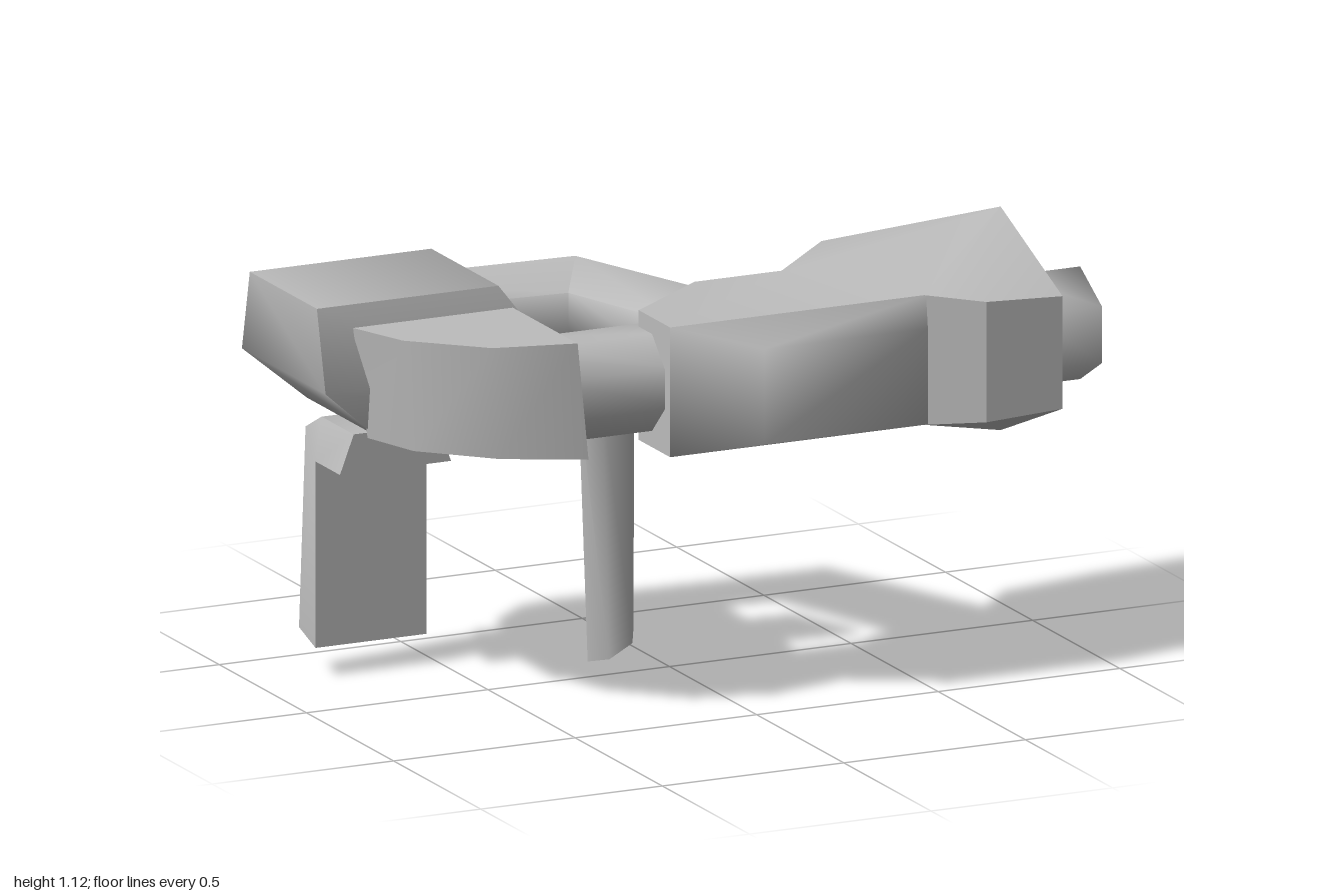
import * as THREE from 'three';
import { toCreasedNormals } from 'three/addons/utils/BufferGeometryUtils.js';

// Skin a series of matching 3D loops; cap lists the end triangles (fan by default).
function loft(loops, crease = 0.6, cap = null) {
  const n = loops[0].length, pos = [];
  const tri = (a, b, c) => pos.push(...a, ...b, ...c);
  for (let k = 0; k + 1 < loops.length; k++) {
    for (let i = 0; i < n; i++) {
      const j = (i + 1) % n, a = loops[k], b = loops[k + 1];
      tri(a[i], a[j], b[j]);
      tri(a[i], b[j], b[i]);
    }
  }
  const ends = cap || Array.from({ length: n - 2 }, (_, i) => [0, i + 1, i + 2]);
  const first = loops[0], last = loops[loops.length - 1];
  for (const [a, b, c] of ends) {
    tri(first[c], first[b], first[a]);
    tri(last[a], last[b], last[c]);
  }
  // Make every face point outward
  let volume = 0;
  const v = (i) => new THREE.Vector3().fromArray(pos, i);
  for (let i = 0; i < pos.length; i += 9) volume += v(i).dot(v(i + 3).cross(v(i + 6)));
  if (volume < 0) {
    for (let i = 0; i < pos.length; i += 9) {
      for (let k = 0; k < 3; k++) [pos[i + 3 + k], pos[i + 6 + k]] = [pos[i + 6 + k], pos[i + 3 + k]];
    }
  }
  const g = new THREE.BufferGeometry();
  g.setAttribute('position', new THREE.Float32BufferAttribute(pos, 3));
  return toCreasedNormals(g, crease);
}

// Regular polygon across the x axis
function ringX(x, y, z, r, sides, turn = 0) {
  return Array.from({ length: sides }, (_, i) => {
    const t = turn + (i / sides) * Math.PI * 2;
    return [x, y + r * Math.cos(t), z + r * Math.sin(t)];
  });
}

// Rectangle at height y
const rectY = (y, x0, x1, z0, z1) => [[x0, y, z0], [x1, y, z0], [x1, y, z1], [x0, y, z1]];
// Rectangle at depth z
const rectZ = (z, x0, x1, y0, y1) => [[x0, y0, z], [x1, y0, z], [x1, y1, z], [x0, y1, z]];

export function createModel() {
  const group = new THREE.Group();
  const grey = new THREE.MeshStandardMaterial({ color: 0xbcbcbc });
  grey.name = 'plain grey';
  const add = (name, geometry) => {
    const mesh = new THREE.Mesh(geometry, grey);
    mesh.name = name;
    group.add(mesh);
  };

  // Main body: x, z and half height around the centre line, peaked at the wide end
  const mid = 0.837;
  const outline = [
    [-0.2, 0.24, 0.167], [0.04, 0.06, 0.167], [0.28, 0.06, 0.167], [0.5, -0.17, 0.16],
    [0.84, -0.21, 0.145], [0.84, 0.15, 0.288], [0.84, 0.505, 0.145], [0.63, 0.505, 0.155],
    [0.5, 0.42, 0.167], [-0.2, 0.42, 0.167],
  ];
  const bodyCap = [[0, 1, 9], [1, 2, 9], [2, 8, 9], [2, 5, 8], [2, 3, 5], [3, 4, 5], [5, 6, 7], [5, 7, 8]];
  add('mainBody', loft([-1, 1].map((s) => outline.map(([x, z, h]) => [x, mid + s * h, z])), 0.5, bodyCap));

  // Softly shaded bulge on the front of the body
  add('frontBulge', loft([
    rectZ(0.42, -0.2, 0.505, 0.67, 1.004),
    rectZ(0.545, 0, 0.45, 0.71, 0.955),
  ], 1.8));

  // Six-sided nozzle and the shaft at the other end
  add('nozzle', loft([ringX(0.8, mid, 0.273, 0.145, 6), ringX(1, mid, 0.273, 0.145, 6)], Math.PI));
  add('shaft', loft([-0.5, -0.15].map((x) => ringX(x, mid, 0.265, 0.135, 8, Math.PI / 8)), 1));

  // Faceted end block
  const blockTop = [[-0.91, 0.08], [-0.85, 0.24], [-0.68, 0.4], [-0.47, 0.452], [-0.47, 0.08]];
  const blockBottom = [[-0.87, 0.08], [-0.82, 0.24], [-0.66, 0.4], [-0.44, 0.452], [-0.44, 0.08]];
  add('endBlock', loft([
    blockBottom.map(([x, z]) => [x, x < -0.6 ? 0.715 : 0.7, z]),
    blockTop.map(([x, z]) => [x, 1.003, z]),
  ], 0.6));

  // Rounded housing behind the end block
  add('rearHousing', loft([
    rectY(0.72, -0.85, -0.27, -0.31, 0.08),
    rectY(0.85, -1, -0.35, -0.37, 0.11),
    rectY(1.058, -1, -0.5, -0.325, 0.06),
  ], 1.0));

  // Bent six-sided rear arm: outer and inner points of each mitred section
  const arm = [
    [[-0.73, -0.547], [-0.86, -0.37]],
    [[0.01, -0.52], [-0.13, -0.31]],
    [[0.24, 0.07], [0, 0.085]],
  ];
  const armSection = [[0, 0.061], [0.5, 0.122], [1, 0.061], [1, -0.061], [0.5, -0.122], [0, -0.061]];
  add('rearArm', loft(arm.map(([o, i]) => armSection.map(([t, h]) => [
    o[0] + (i[0] - o[0]) * t, 0.843 + h, o[1] + (i[1] - o[1]) * t,
  ])), 1.1));

  // Thin mounting plate above the grip
  add('gripPlate', loft([
    [[-0.52, 0.635, -0.22], [-0.07, 0.66, -0.16], [-0.03, 0.67, 0.03], [-0.52, 0.635, -0.02]],
    [[-0.52, 0.71, -0.23], [-0.09, 0.71, -0.2], [0, 0.71, 0.03], [-0.52, 0.71, -0.02]],
  ], 0.5));

  // Slanted six-sided grip
  const gripLoop = (cx, cz, rx, y, tilt) => Array.from({ length: 6 }, (_, i) => {
    const t = (i / 6) * Math.PI * 2;
    return [cx + rx * Math.cos(t), y + tilt * Math.cos(t), cz + 0.069 * Math.sin(t)];
  });
  add('grip', loft([gripLoop(-0.1, -0.13, 0.063, 0.037, 0.034), gripLoop(-0.138, -0.075, 0.077, 0.7, 0)], 1.1));

  // Hanging L-shaped leg, narrowed at the top: z, y and half width
  const leg = [
    [-0.145, 0.66, 0.115], [-0.33, 0.66, 0.115], [-0.38, 0.625, 0.135], [-0.38, 0.11, 0.153],
    [-0.285, 0.08, 0.153], [-0.285, 0.56, 0.153], [-0.145, 0.56, 0.153],
  ];
  const legCap = [[0, 1, 5], [0, 5, 6], [1, 2, 5], [2, 3, 5], [3, 4, 5]];
  add('hangingLeg', loft([-1, 1].map((s) => leg.map(([z, y, w]) => [-0.685 + s * w, y, z])), 0.75, legCap));

  return group;
}
